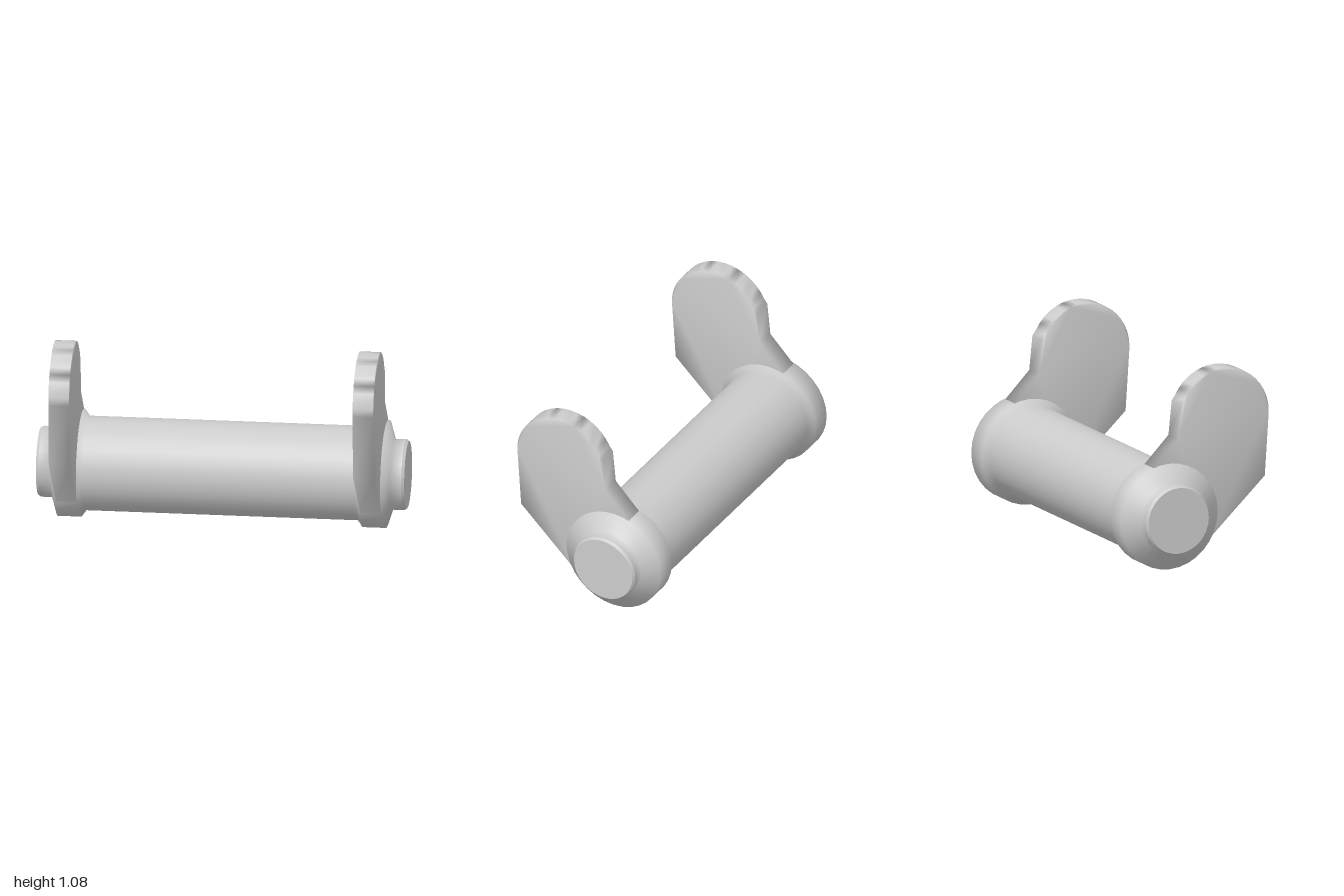
import * as THREE from 'three';
import { mergeVertices } from 'three/addons/utils/BufferGeometryUtils.js';

const grey = new THREE.MeshStandardMaterial({ color: 0xcccccc });

// Turned pin: barrel, flared collars and end caps in one profile of [x, radius]
function pinGeometry() {
  const half = [
    [0.74, 0.256], [0.765, 0.292], [0.89, 0.292], [0.922, 0.192],
    [0.985, 0.192], [0.985, 0.192], [1, 0.182], [1, 0.182], [1, 0],
  ];
  const left = half.map(([x, r]) => [-x, r]).reverse();
  const points = [...left, ...half].map(([x, r]) => new THREE.Vector2(r, x));
  return new THREE.LatheGeometry(points, 32).rotateZ(-Math.PI / 2);
}

// Cranked arm: outline in (z, y) with a round top, extruded along x
function armGeometry(width) {
  const shape = new THREE.Shape();
  shape.moveTo(-0.25, 0.565);
  shape.lineTo(0.1, 0.152);
  shape.lineTo(0.426, 0.457);
  shape.lineTo(0.45, 0.81);
  shape.absarc(0.18, 0.81, 0.27, 0, Math.PI, false);
  // trim the arc where the straight back edge begins
  const outline = shape.getPoints(10).filter((p) => p.x > -0.075 || p.y < 0.7);
  outline.push(
    new THREE.Vector2(-0.081, 0.905),
    new THREE.Vector2(-0.1, 0.717),
    new THREE.Vector2(-0.25, 0.565),
  );
  const geometry = new THREE.ExtrudeGeometry(new THREE.Shape(outline), {
    depth: width, bevelEnabled: false,
  });
  geometry.translate(0, 0, -width / 2).rotateY(-Math.PI / 2);
  // share corners so the rim shades softly into the faces
  geometry.deleteAttribute('normal');
  geometry.deleteAttribute('uv');
  const smooth = mergeVertices(geometry, 1e-4);
  smooth.computeVertexNormals();
  return smooth;
}

export function createModel() {
  const group = new THREE.Group();
  group.name = 'pinWithArms';

  const pin = new THREE.Mesh(pinGeometry(), grey);
  pin.name = 'pin';
  pin.position.set(0, 0.294, -0.155);
  group.add(pin);

  const arm = armGeometry(0.112);
  for (const [name, side] of [['leftArm', 1], ['rightArm', -1]]) {
    const mesh = new THREE.Mesh(arm, grey);
    mesh.name = name;
    mesh.position.x = side * 0.826;
    group.add(mesh);
  }
  return group;
}
